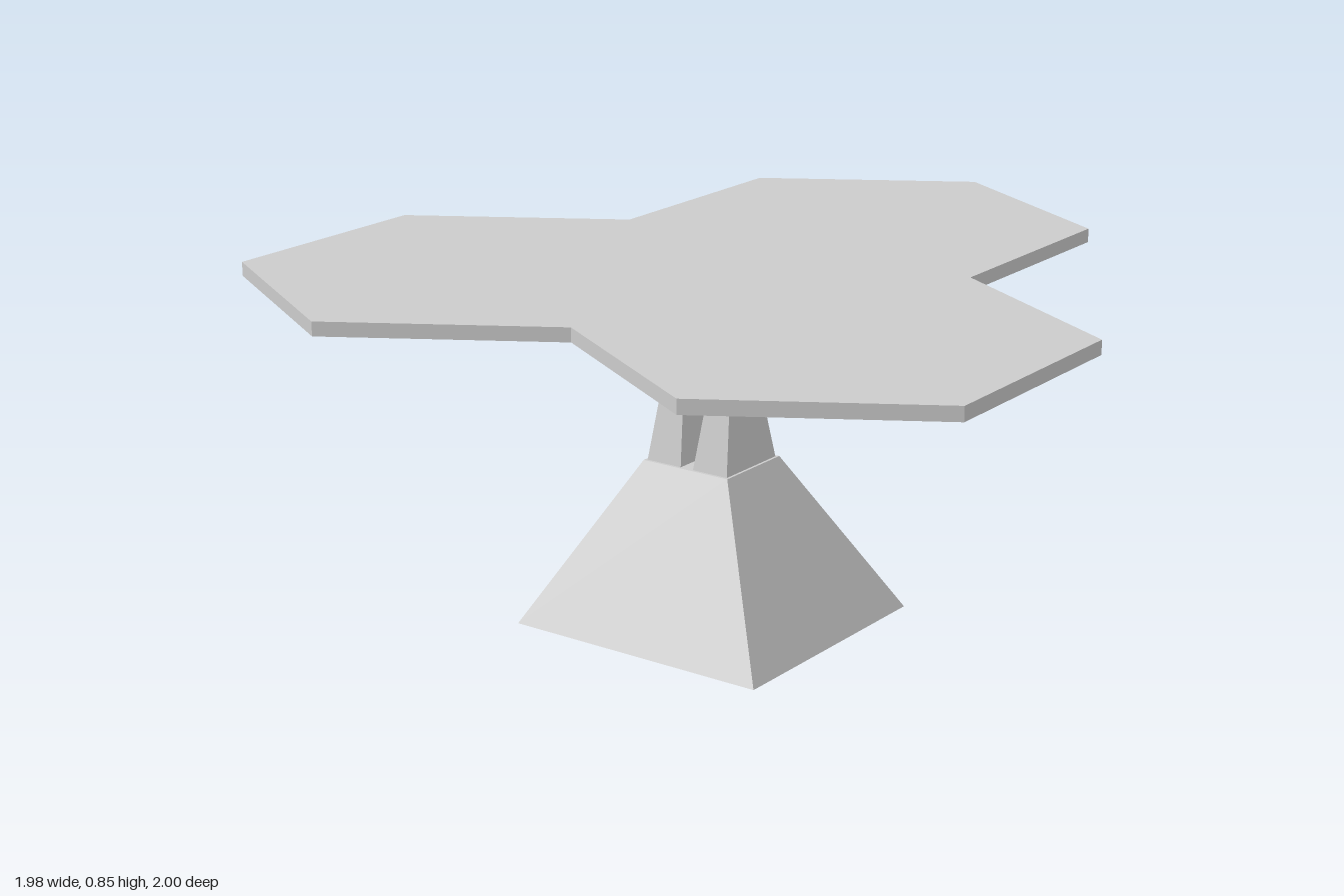
import * as THREE from 'three';

const material = new THREE.MeshStandardMaterial({ color: 0xcccccc, flatShading: true, side: THREE.DoubleSide });

function add(parent, name, geometry, x, y, z) {
  const mesh = new THREE.Mesh(geometry, material);
  mesh.name = name;
  mesh.position.set(x, y, z);
  parent.add(mesh);
  return mesh;
}

// Box standing on y = 0 whose top and bottom have their own width and depth
function taperedBox([bottomW, bottomD], [topW, topD], height) {
  const geometry = new THREE.BoxGeometry(1, height, 1).translate(0, height / 2, 0);
  const p = geometry.attributes.position;
  for (let i = 0; i < p.count; i++) {
    const top = p.getY(i) > height / 2;
    p.setX(i, p.getX(i) * (top ? topW : bottomW));
    p.setZ(i, p.getZ(i) * (top ? topD : bottomD));
  }
  geometry.computeVertexNormals();
  return geometry;
}

export function createModel() {
  const model = new THREE.Group();
  model.name = 'hexagonPanelStand';

  // Stand, slightly off the centre of the panels
  const stand = new THREE.Group();
  stand.name = 'stand';
  stand.position.set(-0.023, 0, 0.157);
  model.add(stand);

  // Hollow pyramid base, open underneath
  const base = taperedBox([0.695, 0.63], [0.245, 0.21], 0.4);
  const index = Array.from(base.index.array);
  index.splice(18, 6);
  base.setIndex(index);
  base.clearGroups();
  add(stand, 'base', base, 0, 0, 0);

  // Pair of brackets holding the post
  for (const side of [-1, 1]) {
    add(stand, side < 0 ? 'rightBracket' : 'leftBracket',
      taperedBox([0.098, 0.196], [0.049, 0.092], 0.255), side * 0.067, 0.4, 0);
  }

  // Hinge pin through the brackets
  const pin = new THREE.CylinderGeometry(0.029, 0.029, 0.22, 16).rotateZ(Math.PI / 2);
  add(stand, 'hingePin', pin, -0.002, 0.59, 0.002);

  // Post up to the panels
  add(stand, 'post', taperedBox([0.053, 0.074], [0.07, 0.08], 0.277), -0.001, 0.545, 0.003);

  // Three hexagonal panels meeting at one corner
  const panels = new THREE.Group();
  panels.name = 'panels';
  panels.position.set(0, 0.837, 0.135);
  panels.rotation.y = 0.012;
  model.add(panels);
  const radius = 0.571;
  const hexagon = new THREE.CylinderGeometry(radius, radius, 0.034, 6);
  ['backPanel', 'leftPanel', 'rightPanel'].forEach((name, i) => {
    const angle = Math.PI + i * Math.PI * 2 / 3;
    const x = Math.sin(angle) * radius, z = Math.cos(angle) * radius;
    add(panels, x < -0.1 ? 'rightPanel' : x > 0.1 ? 'leftPanel' : name, hexagon, x, 0, z);
  });

  return model;
}
